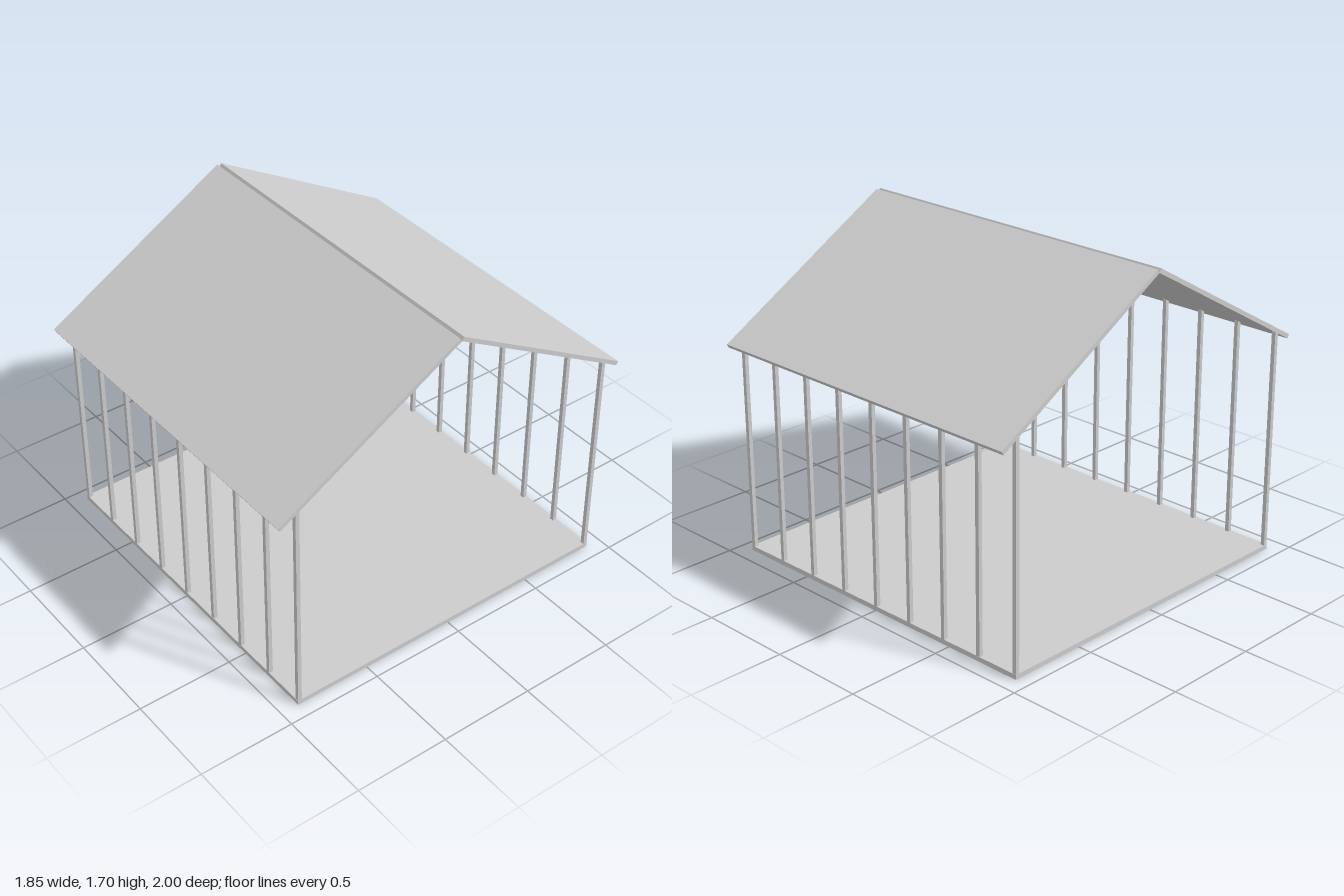
import * as THREE from 'three';

const material = new THREE.MeshStandardMaterial({ color: 0xcccccc, flatShading: true });

function addBox(parent, name, size, position) {
  const mesh = new THREE.Mesh(new THREE.BoxGeometry(...size), material);
  mesh.name = name;
  mesh.position.set(...position);
  parent.add(mesh);
  return mesh;
}

export function createModel() {
  const shelter = new THREE.Group();
  shelter.name = 'openShelter';

  // Floor slab, set very slightly off the roof's centre
  addBox(shelter, 'floor', [1.85, 0.025, 1.82], [-0.003, 0.0125, -0.005]);

  // Two rows of slender posts, running from the floor up into the roof
  const postCount = 9, postWidth = 0.021, postTop = 1.17, floorTop = 0.025;
  const postHeight = postTop - floorTop;
  for (const [name, z] of [['frontPosts', 0.894], ['backPosts', -0.904]]) {
    const row = new THREE.Group();
    row.name = name;
    for (let i = 0; i < postCount; i++) {
      const x = THREE.MathUtils.lerp(-0.917, 0.912, i / (postCount - 1));
      addBox(row, 'post', [postWidth, postHeight, postWidth], [x, floorTop + postHeight / 2, z]);
    }
    shelter.add(row);
  }

  // Roof slabs pitched at 30 degrees; their square ends touch along the lower ridge edge
  const pitch = Math.PI / 6;
  for (const [name, side] of [['frontRoof', 1], ['backRoof', -1]]) {
    const slab = addBox(shelter, name, [1.85, 0.022, 1.142], [0, 1.405, side * 0.5]);
    slab.rotation.x = side * pitch;
  }

  return shelter;
}
